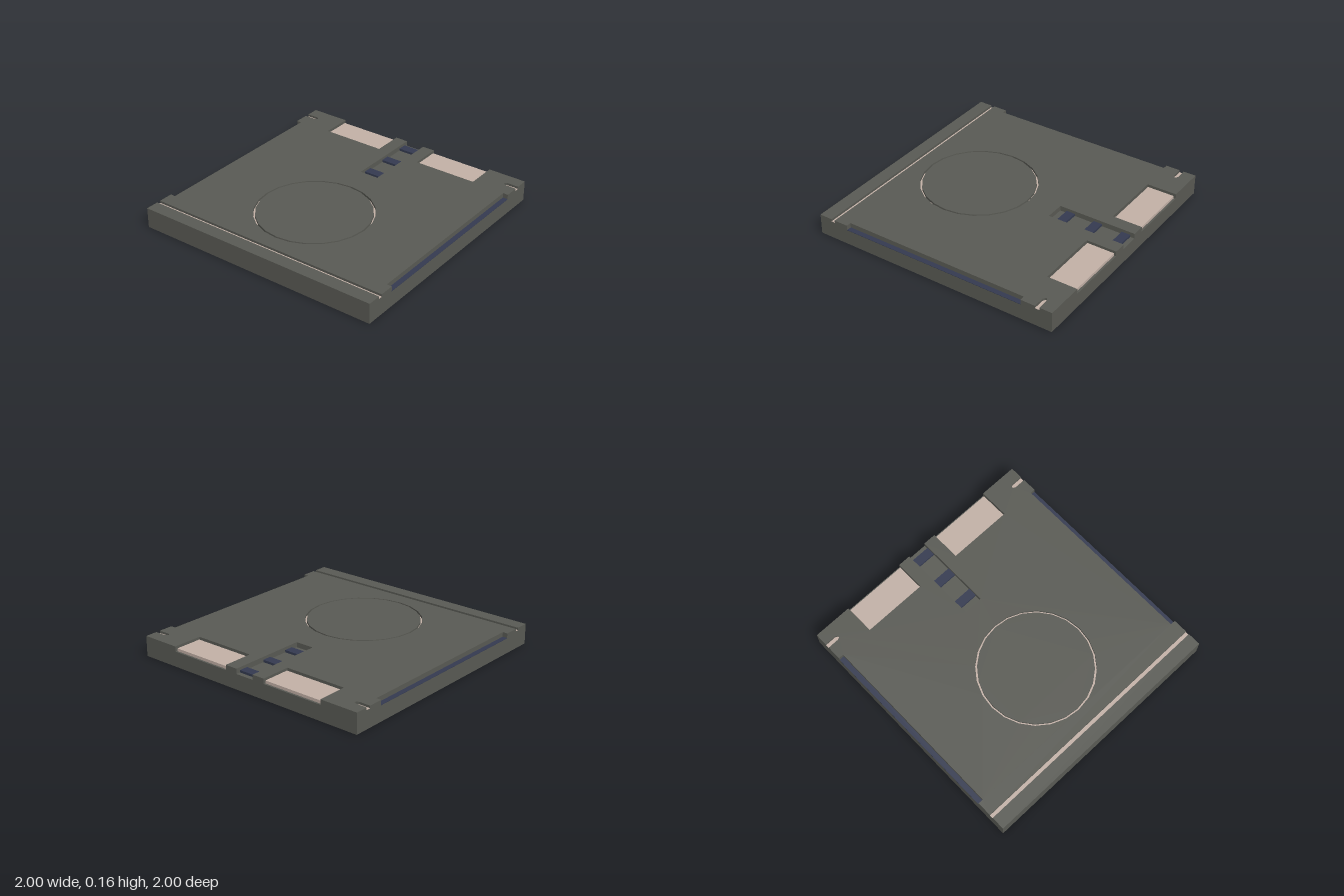
import * as THREE from 'three';

const make = (name, color) => {
  const m = new THREE.MeshStandardMaterial({ color });
  m.name = name;
  return m;
};

export function createModel() {
  const group = new THREE.Group();
  const grey = make('stone grey', 0x595a54);
  const pink = make('pale pink', 0xc2b0a6);
  const navy = make('dark navy', 0x343a50);

  const add = (name, geometry, material, x = 0, y = 0, z = 0) => {
    const mesh = new THREE.Mesh(geometry, material);
    mesh.name = name;
    mesh.position.set(x, y, z);
    group.add(mesh);
    return mesh;
  };
  // Box given by its x, y and z ranges
  const slab = (name, material, [x0, x1], [y0, y1], [z0, z1]) =>
    add(name, new THREE.BoxGeometry(x1 - x0, y1 - y0, z1 - z0), material,
      (x0 + x1) / 2, (y0 + y1) / 2, (z0 + z1) / 2);

  const ringZ = 0.3, ringOuter = 0.447, ringInner = 0.433;
  const circle = (r) => Array.from({ length: 24 }, (_, i) => {
    const a = (i / 24) * Math.PI * 2;
    return new THREE.Vector2(r * Math.cos(a), -ringZ + r * Math.sin(a));
  });
  // Lays a flat outline on the ground plane and raises it
  const raise = (shape, height) =>
    new THREE.ExtrudeGeometry(shape, { depth: height, bevelEnabled: false }).rotateX(-Math.PI / 2);

  // Outline with side ledges, rear recesses and centre channel, mirrored in x
  const outline = (front, notch) => {
    const half = [
      [1, front], [1, 0.75], [0.96, 0.75], [0.96, -0.75], [1, -0.75],
      ...(notch ? [[1, -0.865], [0.91, -0.865], [0.89, -0.875], [0.89, -0.89], [0.91, -0.9], [1, -0.9]] : []),
      [1, -1], [0.69, -1], [0.69, -0.76], [0.18, -0.76], [0.18, -1], [0.077, -1], [0.077, -0.375],
    ];
    const all = [...half, ...half.slice().reverse().map(([x, z]) => [-x, z])];
    return new THREE.Shape(all.map(([x, z]) => new THREE.Vector2(x, -z)));
  };

  // Body: solid base, recessed layer, then the grooved top
  slab('base', grey, [-1, 1], [0, 0.12], [-1, 1]);
  add('middleLayer', raise(outline(1, false), 0.02), grey, 0, 0.12, 0);
  const top = outline(0.865, true);
  top.holes.push(new THREE.Path(circle(ringOuter)));
  add('topLayer', raise(top, 0.02), grey, 0, 0.14, 0);
  add('topDisc', raise(new THREE.Shape(circle(ringInner)), 0.02), grey, 0, 0.14, 0);
  slab('frontStrip', grey, [-1, 1], [0.14, 0.16], [0.895, 1]);

  // Pink groove floors
  const ring = new THREE.Shape(circle(ringOuter));
  ring.holes.push(new THREE.Path(circle(ringInner)));
  add('ringGrooveFloor', raise(ring, 0.002), pink, 0, 0.14, 0);
  slab('frontGrooveFloor', pink, [-1, 1], [0.14, 0.142], [0.865, 0.895]);

  for (const [side, s] of [['left', 1], ['right', -1]]) {
    const span = (a, b) => (s > 0 ? [a, b] : [-b, -a]);
    slab(side + 'NotchFloor', pink, span(0.89, 1), [0.14, 0.142], [-0.9, -0.865]);
    slab(side + 'LedgeFloor', navy, span(0.96, 1), [0.12, 0.123], [-0.75, 0.75]);
    slab(side + 'RearPad', pink, span(0.183, 0.685), [0.12, 0.142], [-0.985, -0.767]);
  }

  // Navy rungs along the centre channel
  for (const z of [-0.93, -0.695, -0.465]) {
    slab('channelRung', navy, [-0.077, 0.077], [0.12, 0.138], [z - 0.035, z + 0.035]);
  }
  return group;
}
